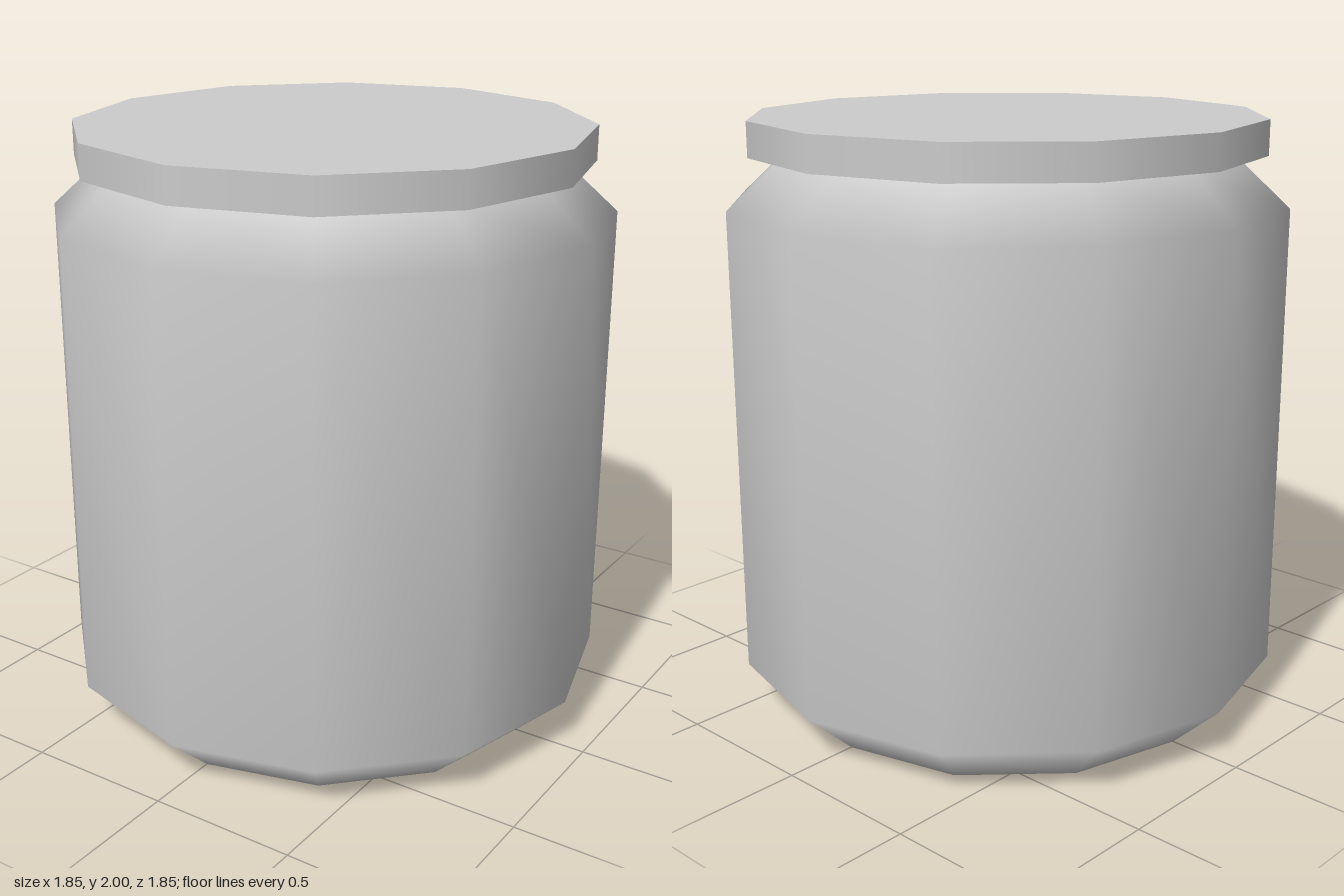
import * as THREE from 'three';

const SIDES = 12;

export function createModel() {
  const group = new THREE.Group();
  const material = new THREE.MeshStandardMaterial({ color: 0xcccccc });
  const add = (name, geometry, y = 0) => {
    const mesh = new THREE.Mesh(geometry, material);
    mesh.name = name;
    mesh.position.y = y;
    group.add(mesh);
  };

  // Smooth jar wall: bevelled foot, straight side, sloping shoulder
  const profile = [[0.75, 0], [0.925, 0.165], [0.925, 1.72], [0.745, 1.885]];
  add('jarBody', new THREE.LatheGeometry(profile.map(([r, y]) => new THREE.Vector2(r, y)), SIDES));

  // Flat base, facing down
  add('jarBase', new THREE.CircleGeometry(0.75, SIDES).rotateX(Math.PI / 2));

  // Overhanging lid
  add('lid', new THREE.CylinderGeometry(0.85, 0.85, 0.115, SIDES), 1.9425);

  return group;
}
